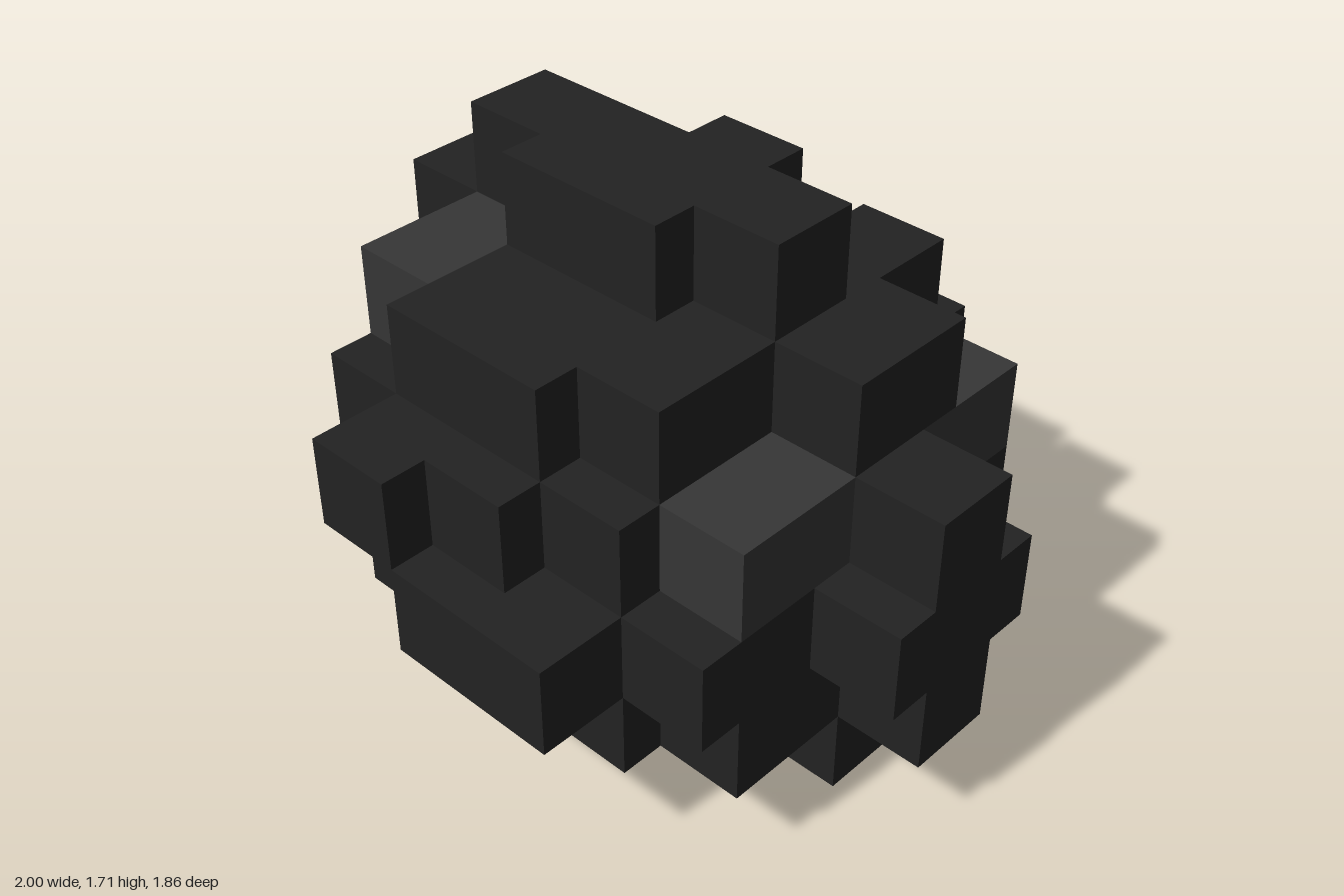
import * as THREE from 'three';

const CELL = 2 / 7;   // width and height of a block
const STEP = 1 / 7;   // depth step of a block end

// Layers from the ground up. Each entry is a column: [x index, back, front], in depth steps.
const LAYERS = [
  [[1, -1.5, 0.5], [2, -2.5, 1.5], [3, -1.5, 1.5], [4, -2.5, 1.5], [5, -1.5, 0.5]],
  [[0, -1.5, 0.5], [1, -3.5, 3.5], [2, -4.5, 4.5], [3, -5.5, 4.5], [4, -4.5, 4.5], [5, -3.5, 3.5], [6, -1.5, 0.5]],
  [[0, -1.5, 1.5], [1, -4.5, 4.5], [2, -5.5, 5.5], [3, -6.5, 6.5], [4, -5.5, 6.5], [5, -4.5, 4.5], [6, -2.5, 1.5]],
  [[0, -2.5, 1.5], [1, -4.5, 4.5], [2, -5.5, 6.5], [3, -6.5, 5.5], [4, -5.5, 4.5], [5, -4.5, 3.5], [6, -1.5, 0.5]],
  [[0, -1.5, 0.5], [1, -3.5, 3.5], [2, -3.5, 4.5], [3, -2.5, 4.5], [4, -4.5, 3.5], [5, -2.5, 0.5]],
  [[1, -1.5, 0.5], [2, -1.5, 1.5], [3, -2.5, 1.5], [4, -1.5, 0.5]],
];

// Paler blocks, as "layer,x index"
const PALE = new Set(['0,2', '3,5', '4,1']);

export function createModel() {
  const charcoal = new THREE.MeshStandardMaterial({ color: 0x232323 });
  charcoal.name = 'charcoal';
  const paleCharcoal = new THREE.MeshStandardMaterial({ color: 0x363636 });
  paleCharcoal.name = 'paleCharcoal';

  const model = new THREE.Group();
  model.name = 'blockyLump';

  LAYERS.forEach((columns, level) => {
    const layer = new THREE.Group();
    layer.name = `layer${level + 1}`;
    for (const [i, back, front] of columns) {
      const pale = PALE.has(`${level},${i}`);
      const block = new THREE.Mesh(
        new THREE.BoxGeometry(CELL, CELL, (front - back) * STEP),
        pale ? paleCharcoal : charcoal
      );
      block.name = pale ? 'paleBlock' : 'darkBlock';
      block.position.set((i - 3) * CELL, (level + 0.5) * CELL, (back + front) / 2 * STEP);
      layer.add(block);
    }
    model.add(layer);
  });
  return model;
}
